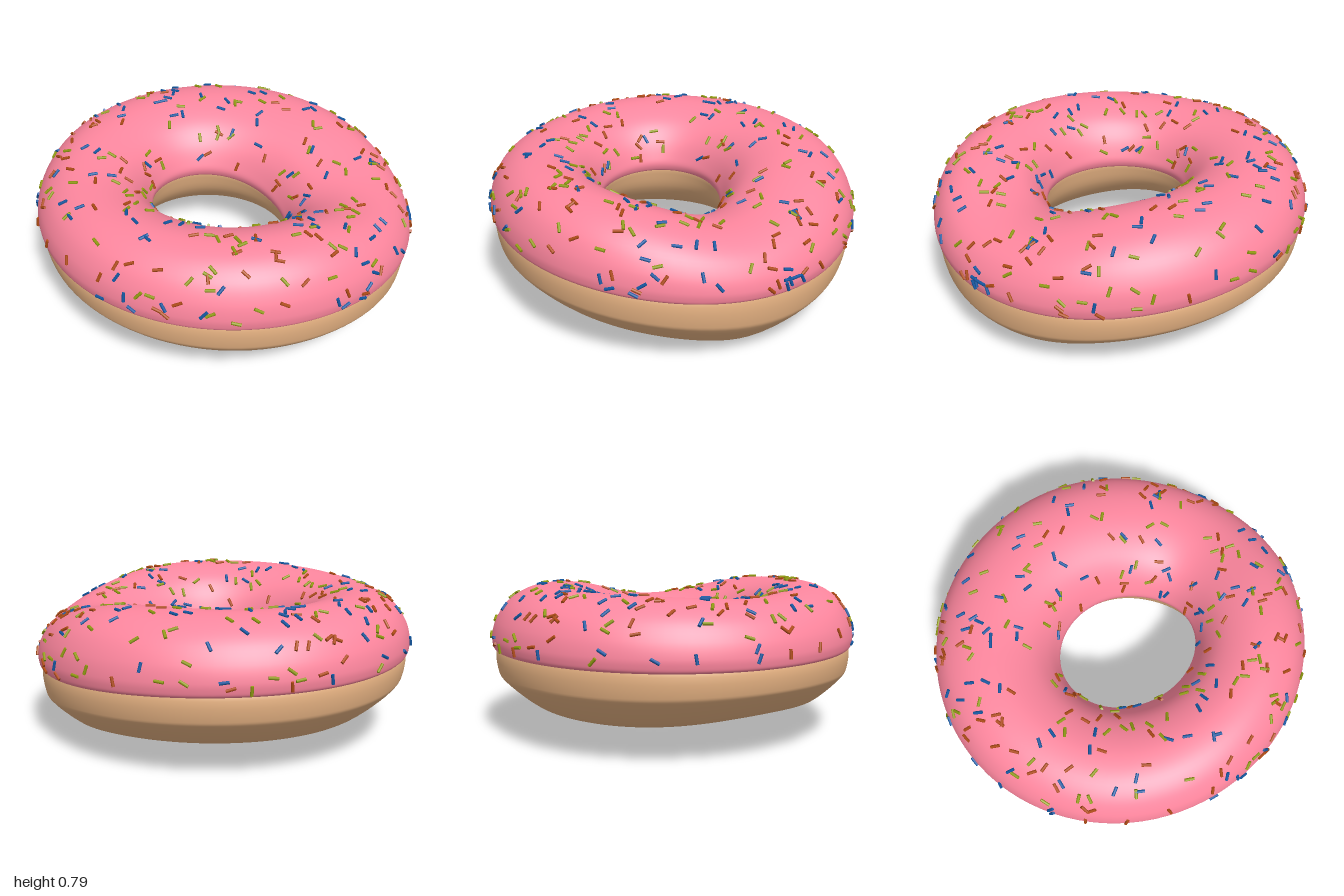
import * as THREE from 'three';
import { mergeGeometries } from 'three/addons/utils/BufferGeometryUtils.js';

// bump of height 1 at angle c (degrees), fading over w degrees
function bump(a, c, w) {
  const d = ((THREE.MathUtils.radToDeg(a) - c + 540) % 360) - 180;
  return Math.exp(-((d / w) ** 2));
}

// heights around the ring: icing rim, icing crest, dough underside
const rimY = (a) => 0.458 - 0.084 * bump(a, 47, 55);
const crestY = (a) => 0.775 - 0.125 * bump(a, 59, 37) - 0.025 * bump(a, 215, 35);
const baseY = (a) => 0.143 - 0.07 * bump(a, 53, 30) - 0.072 * bump(a, 53, 65) + 0.04 * bump(a, 217, 36);

// u = -1 on the hole edge, +1 on the slightly skewed outer edge
function place(a, u, y) {
  const k = (u + 1) / 2, c = Math.cos(a), s = Math.sin(a);
  const skew = 1 + 0.01 * Math.sin(2 * a);
  return new THREE.Vector3(
    THREE.MathUtils.lerp(-0.06 + 0.315 * c, 0.96 * c * skew, k), y,
    THREE.MathUtils.lerp(0.01 + 0.37 * s, 0.99 * s * skew, k));
}

const closedCurve = (pts) => new THREE.CatmullRomCurve3(
  pts.map(([u, v]) => new THREE.Vector3(u, v, 0)), true, 'centripetal');

// cross-sections, running up the outer side and down into the hole
const icingCurve = closedCurve([
  [0.93, 0], [0.975, 0.03], [0.997, 0.11], [1, 0.22], [0.94, 0.46], [0.76, 0.74], [0.45, 0.94],
  [0.05, 1], [-0.3, 0.94], [-0.6, 0.79], [-0.82, 0.55], [-0.95, 0.28], [-0.99, 0.12], [-0.94, 0],
  [-0.88, 0.08], [-0.6, 0.5], [0, 0.8], [0.6, 0.5], [0.89, 0.08]]);
const doughCurve = closedCurve([
  [0, 0], [0.28, 0.05], [0.49, 0.18], [0.86, 0.53], [0.91, 0.62], [0.92, 1.05], [0.6, 1.25],
  [0, 1.3], [-0.6, 1.25], [-0.9, 1.05], [-0.89, 0.85], [-0.79, 0.56], [-0.51, 0.22], [-0.25, 0.05]]);

const icingPoint = (a, p) => place(a, p.x, rimY(a) + p.y * (crestY(a) - rimY(a)));
const doughPoint = (a, p) => place(a, p.x, baseY(a) + p.y * (rimY(a) - baseY(a)));

// closed ring swept from a cross-section that changes with the angle
function ring(curve, pointAt, around, across) {
  const profile = curve.getPoints(across).slice(0, across);
  const pos = [], index = [];
  for (let i = 0; i < around; i++) {
    const a = (i / around) * Math.PI * 2;
    for (let j = 0; j < across; j++) {
      pos.push(...pointAt(a, profile[j]).toArray());
      const i2 = (i + 1) % around, j2 = (j + 1) % across;
      const p = i * across + j, q = i * across + j2, r = i2 * across + j, s = i2 * across + j2;
      index.push(p, q, r, q, s, r);
    }
  }
  const g = new THREE.BufferGeometry();
  g.setAttribute('position', new THREE.Float32BufferAttribute(pos, 3));
  g.setIndex(index);
  g.computeVertexNormals();
  return g;
}

function seeded(seed) {
  return () => {
    seed = (seed * 16807) % 2147483647;
    return seed / 2147483647;
  };
}

export function createModel() {
  const group = new THREE.Group();
  const add = (name, geometry, color) => {
    const mesh = new THREE.Mesh(geometry, new THREE.MeshStandardMaterial({ color }));
    mesh.name = name;
    group.add(mesh);
  };

  add('dough', ring(doughCurve, doughPoint, 96, 56), 0xe6b282);
  add('icing', ring(icingCurve, icingPoint, 96, 95), 0xff879f);

  // sprinkles lying flat on the icing in random directions
  const rand = seeded(90817);
  const rod = new THREE.CylinderGeometry(0.008, 0.008, 0.048, 8);
  const colors = { blueSprinkles: 0x1458a2, greenSprinkles: 0x929c12, orangeSprinkles: 0xb04c16 };
  for (const [name, color] of Object.entries(colors)) {
    const rods = [];
    while (rods.length < 110) {
      const a = rand() * Math.PI * 2;
      const t = 0.02 + rand() * 0.49;
      const at = (da, dt) => icingPoint(a + da, icingCurve.getPointAt(t + dt));
      const p = at(0, 0);
      // keep the density even between hole and outer edge
      if (rand() > Math.hypot(p.x, p.z)) continue;
      const along = at(0.01, 0).sub(at(-0.01, 0)).normalize();
      const up = at(0, 0.004).sub(at(0, -0.004)).cross(along).normalize();
      const dir = along.applyAxisAngle(up, rand() * Math.PI);
      const side = new THREE.Vector3().crossVectors(dir, up);
      const m = new THREE.Matrix4().makeBasis(side, dir, side.clone().cross(dir));
      m.setPosition(p.addScaledVector(up, 0.003));
      rods.push(rod.clone().applyMatrix4(m));
    }
    add(name, mergeGeometries(rods), color);
  }
  return group;
}
